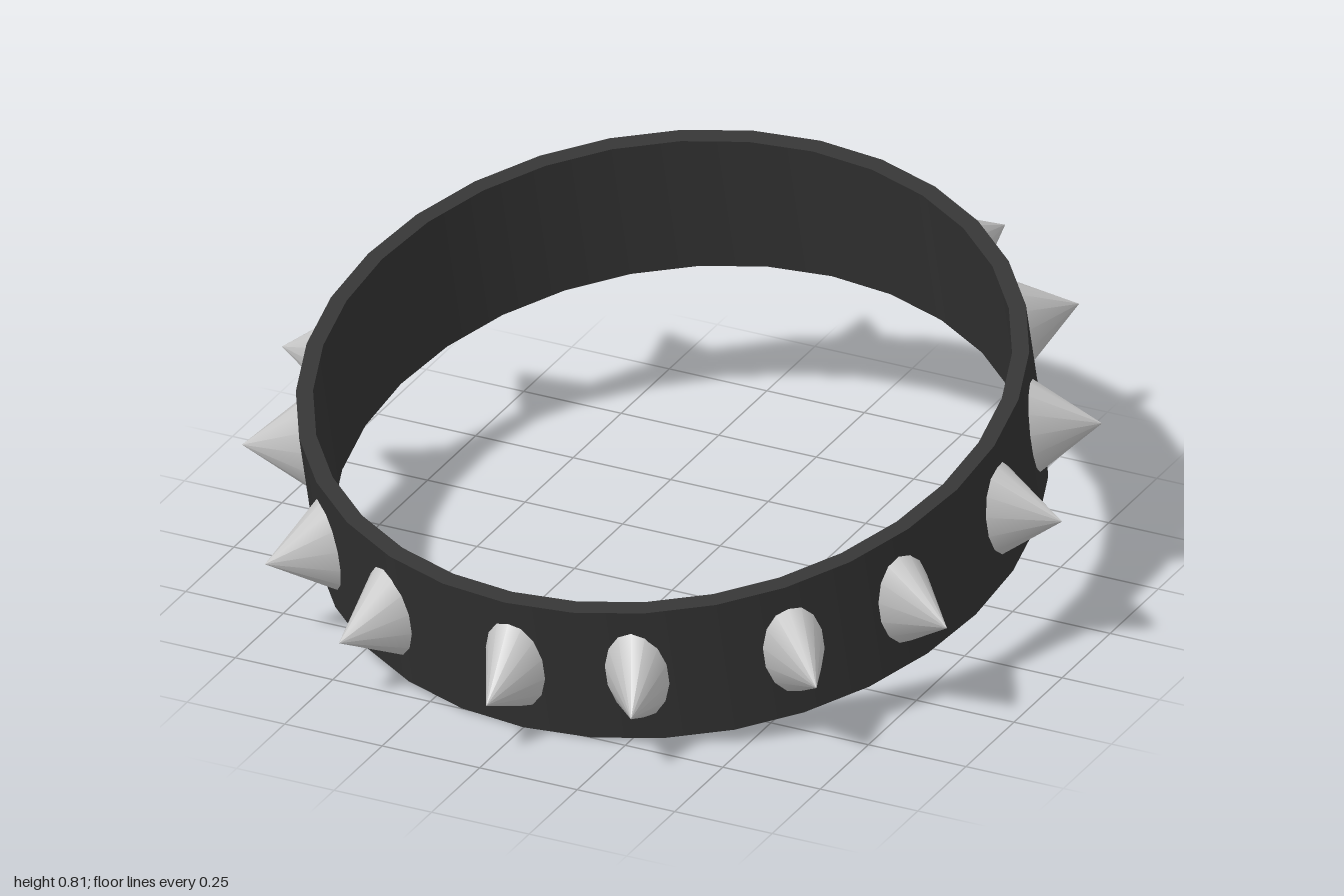
import * as THREE from 'three';
import { mergeGeometries } from 'three/addons/utils/BufferGeometryUtils.js';

const OUTER = 0.85, INNER = 0.81, HALF = 0.19, SEGMENTS = 32;

// Closed ring band: one lathe per side keeps the rims crisp
function bandGeometry() {
  const corners = [[OUTER, -HALF], [OUTER, HALF], [INNER, HALF], [INNER, -HALF]]
    .map(([r, y]) => new THREE.Vector2(r, y));
  return mergeGeometries(corners.map((p, i) =>
    new THREE.LatheGeometry([p, corners[(i + 1) % 4]], SEGMENTS)));
}

// Oval cone lying along +z, base sunk into the band, tip at radius 1
function spikeGeometry() {
  const base = 0.82, height = 1 - base;
  const geometry = new THREE.ConeGeometry(1, height, 14);
  geometry.rotateX(Math.PI / 2);
  geometry.scale(0.085, 0.15, 1);
  geometry.translate(0, 0, base + height / 2);
  return geometry;
}

export function createModel() {
  const model = new THREE.Group();
  model.name = 'spikedCollar';

  const dark = new THREE.MeshStandardMaterial({ color: 0x333333 });
  const grey = new THREE.MeshStandardMaterial({ color: 0xcccccc });

  // Collar leans forward, front edge resting on the ground
  const collar = new THREE.Group();
  collar.name = 'collar';
  collar.rotation.x = THREE.MathUtils.degToRad(15);
  collar.position.y = 0.404;
  model.add(collar);

  const band = new THREE.Mesh(bandGeometry(), dark);
  band.name = 'band';
  collar.add(band);

  // Four spikes per quarter turn, unevenly spaced
  const spikes = new THREE.Group();
  spikes.name = 'spikes';
  collar.add(spikes);
  const geometry = spikeGeometry();
  for (let quarter = 0; quarter < 4; quarter++) {
    for (const angle of [0, 20, 45, 65]) {
      const spike = new THREE.Mesh(geometry, grey);
      spike.name = 'spike';
      spike.rotation.y = THREE.MathUtils.degToRad(quarter * 90 + angle);
      spikes.add(spike);
    }
  }
  return model;
}
